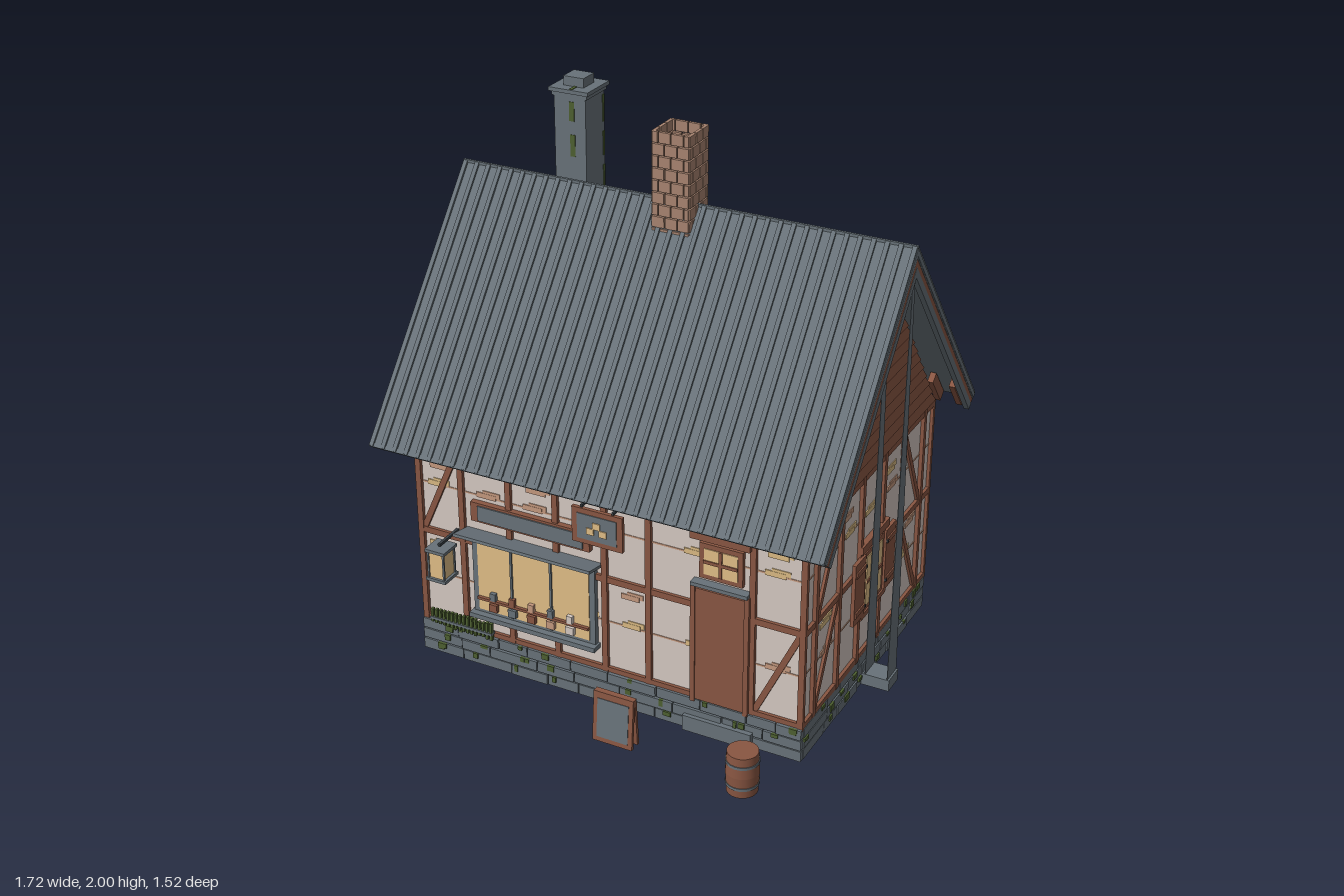
import * as THREE from 'three';

const mat = (name, color) => Object.assign(new THREE.MeshStandardMaterial({ color }), { name });
const plaster = mat('plaster', 0xd4c8c1), wood = mat('timber', 0x895642), slate = mat('slate', 0x687279);
const iron = mat('dark iron', 0x3a4146), glow = mat('warm glass', 0xe0bd86), brick = mat('brick', 0xa88470);
const moss = mat('moss', 0x4d5f30), ochre = mat('ochre patch', 0xd9b982), rose = mat('rose patch', 0xc4987e);

let seed = 7;
const rnd = () => (seed = (seed * 16807) % 2147483647) / 2147483647;

function group(parent, name, x = 0, y = 0, z = 0) {
  const g = new THREE.Group();
  g.name = name;
  g.position.set(x, y, z);
  parent.add(g);
  return g;
}
function add(parent, name, geo, m, x = 0, y = 0, z = 0) {
  const o = new THREE.Mesh(geo, m);
  o.name = name;
  o.position.set(x, y, z);
  parent.add(o);
  return o;
}
// Box from its centre and size
const box = (p, name, m, x, y, z, w, h, d) => add(p, name, new THREE.BoxGeometry(w, h, d), m, x, y, z);
// Box from its limits
const plate = (p, name, m, x0, x1, y0, y1, z0, z1) =>
  box(p, name, m, (x0 + x1) / 2, (y0 + y1) / 2, (z0 + z1) / 2, x1 - x0, y1 - y0, z1 - z0);
// Symmetrical upright trapezium of a given depth
function taper(p, name, m, x, y0, y1, half0, half1, z, depth) {
  const s = new THREE.Shape([[-half0, y0], [half0, y0], [half1, y1], [-half1, y1]].map(q => new THREE.Vector2(...q)));
  return add(p, name, new THREE.ExtrudeGeometry(s, { depth, bevelEnabled: false }), m, x, 0, z);
}
// Timber between two points on a wall
function beam(p, x1, y1, x2, y2, w = 0.022, d = 0.016) {
  const b = box(p, 'timber', wood, (x1 + x2) / 2, (y1 + y2) / 2, d / 2 - 0.002, w, Math.hypot(x2 - x1, y2 - y1), d);
  b.rotation.z = -Math.atan2(x2 - x1, y2 - y1);
}
// Outline in (z, y) extruded along x, centred on x
function extrudeX(p, name, m, pts, length, x = 0) {
  const s = new THREE.Shape(pts.map(([z, y]) => new THREE.Vector2(-z, y)));
  const g = new THREE.ExtrudeGeometry(s, { depth: length, bevelEnabled: false });
  g.translate(0, 0, -length / 2).rotateY(Math.PI / 2);
  return add(p, name, g, m, x);
}

const CZ = -0.081, WX = 0.743, HZ = 0.542;

// Half-timbered wall: posts, rails, cracks and worn plaster
function wallFrame(p, half, posts, diagonals) {
  for (const x of posts) beam(p, x, 0.12, x, 0.87);
  for (const y of [0.133, 0.5, 0.858]) beam(p, -half, y, half, y, 0.024, 0.014);
  for (const d of diagonals) beam(p, ...d, 0.022, 0.012);
  for (const y of [0.327, 0.692]) plate(p, 'plaster crack', rose, -half, half, y - 0.003, y + 0.003, 0, 0.002);
  for (let i = 0; i + 1 < posts.length; i++) {
    for (const y of [0.335, 0.45, 0.698, 0.768]) {
      if (rnd() < 0.35) continue;
      const w = Math.min(0.19, posts[i + 1] - posts[i]), m = rnd() < 0.65 ? ochre : rose;
      const x = posts[i] + (posts[i + 1] - posts[i]) * (0.35 + rnd() * 0.3);
      plate(p, 'worn plaster', m, x - w * 0.25, x + w * 0.16, y - 0.012, y + 0.008, 0, 0.004);
      plate(p, 'worn plaster', m, x - w * 0.12, x + w * 0.25, y - 0.002, y + 0.018, 0, 0.003);
    }
  }
}
// Small window with a cross of glazing bars
function paneWindow(p, x0, x1, y0, y1) {
  const t = 0.018, cx = (x0 + x1) / 2, cy = (y0 + y1) / 2;
  plate(p, 'window frame', wood, x0 - t, x1 + t, y0 - t, y1 + t, 0, 0.016);
  plate(p, 'window glass', glow, x0, x1, y0, y1, 0.014, 0.019);
  plate(p, 'glazing bar', wood, cx - 0.006, cx + 0.006, y0, y1, 0.016, 0.023);
  plate(p, 'glazing bar', wood, x0, x1, cy - 0.006, cy + 0.006, 0.016, 0.023);
}
// Courses of stone on one side of the base
function stones(p, half, out) {
  [0, 0.043, 0.086].forEach((y, r) => {
    let x = -half;
    while (x < half - 0.01) {
      let e = Math.min(half, x + 0.11 + rnd() * 0.1);
      if (half - e < 0.05) e = half;
      plate(p, 'stone', slate, x + 0.002, e - 0.002, y + (r ? 0.002 : 0), y + 0.04, -0.02, out + rnd() * 0.005);
      for (let k = 0; k < 2; k++) {
        if (rnd() < 0.55) continue;
        const m = x + rnd() * (e - x - 0.03), h = 0.01 + rnd() * 0.018;
        plate(p, 'moss', moss, m, m + 0.012 + rnd() * 0.02, y + 0.041 - h, y + 0.041, out - 0.002, out + 0.007);
      }
      x = e;
    }
  });
}

function buildGable(root, s) {
  // Local x runs along the wall, towards -z on the +x side and mirrored on the other
  const g = group(root, 'gableWall', s * WX, 0, 0);
  g.rotation.y = s * Math.PI / 2;
  const X = z => -s * z;
  const wall = group(g, 'timberFrame', X(CZ));
  const c = u => u * s;
  wallFrame(wall, HZ, [-0.467, -0.271, -0.096, 0.094, 0.274, 0.459].map(c).sort((a, b) => a - b),
    [[-0.455, 0.5, -0.28, 0.85], [-0.455, 0.14, -0.28, 0.49], [0.28, 0.85, 0.45, 0.5], [0.28, 0.49, 0.45, 0.14]]
      .map(d => [c(d[0]), d[1], c(d[2]), d[3]]));
  // Clapboards narrowing to the ridge, each leaning out at its foot
  for (let y = 0.87; y < 1.55; y += 0.047) {
    const half = h => Math.max(0.004, (1.6 - h) / 1.34);
    const b = taper(wall, 'clapboard', wood, 0, 0, 0.049, half(y), half(y + 0.049), 0.004, 0.012);
    b.position.y = y;
    b.rotation.x = -0.2;
  }
  // Shuttered window
  const w = group(g, 'gableWindow', X(-0.094));
  paneWindow(w, -0.07, 0.07, 0.335, 0.535);
  for (const k of [-1, 1]) {
    const sh = group(w, 'shutter', k * 0.136, 0.435, 0.016);
    box(sh, 'shutter board', wood, 0, 0, 0, 0.09, 0.245, 0.014);
    for (const y of [-0.08, 0.08]) {
      box(sh, 'shutter batten', wood, 0, y, 0.008, 0.08, 0.02, 0.008);
      box(sh, 'hinge', iron, -k * 0.04, y, 0.01, 0.01, 0.01, 0.008);
    }
  }
  plate(w, 'lintel', wood, -0.12, 0.12, 0.568, 0.598, 0, 0.022);
  plate(w, 'sill', wood, -0.11, 0.11, 0.297, 0.317, 0, 0.022);
  // Pair of tapered strips, on the wall and under the roof edge, joined by a foot
  taper(g, 'wallStrip', slate, X(CZ), 0.02, 1.56, 0.043, 0.01, 0.024, 0.002);
  taper(g, 'outerStrip', slate, X(CZ), 0.02, 1.57, 0.043, 0.01, 0.108, 0.002);
  plate(g, 'stripFoot', slate, X(CZ) - 0.043, X(CZ) + 0.043, 0, 0.045, 0, 0.117);
}

function buildRoof(root) {
  const roof = group(root, 'roof', 0, 0, -0.085);
  const layer = (name, m, a, b, len, x) => {
    const end = (t, k) => [k * (0.675 - 0.774 * t), 0.865 - 0.633 * t], top = t => [0, 1.69 - t / 0.633];
    extrudeX(roof, name, m, [end(a, 1), top(a), end(a, -1), end(b, -1), top(b), end(b, 1)], len, x);
  };
  layer('roofSheet', slate, 0.004, 0.022, 1.72, 0);
  // Trim along the gable edges only
  for (const s of [-1, 1]) {
    layer('outerTrim', slate, 0.022, 0.028, 0.02, s * 0.849);
    layer('bargeBoard', wood, 0.028, 0.046, 0.018, s * 0.849);
    layer('innerTrim', slate, 0.046, 0.071, 0.02, s * 0.849);
  }
  for (const turn of [0, Math.PI]) {
    const side = group(roof, 'roofSlope');
    side.rotation.y = turn;
    const slope = group(side, 'seams', 0, 1.685, 0);
    slope.rotation.x = Math.atan2(0.825, 0.675);
    for (let i = 0; i <= 36; i++) box(slope, 'seam', slate, -0.85 + i * 1.7 / 36, 0.001, 0.532, 0.016, 0.012, 1.064);
    box(slope, 'eaveStrip', slate, 0, -0.006, 1.06, 1.715, 0.018, 0.014);
    for (let i = 0; i < 21; i++) box(slope, 'rafterTail', wood, -0.82 + i * 0.082, -0.042, 0.98, 0.022, 0.04, 0.145);
  }
  box(roof, 'ridgeCap', slate, 0, 1.686, 0, 1.72, 0.01, 0.01);
}

function buildChimneys(root) {
  // Hollow brick stack with open joints
  const b = group(root, 'brickChimney', 0, 1.565, -0.085);
  for (let r = 0; r < 9; r++) {
    for (let k = 0; k < 4; k++) {
      const f = group(b, 'brickCourse', 0, r * 0.043 + 0.02);
      f.rotation.y = k * Math.PI / 2;
      const cut = (r + k) % 2 ? [-0.07, -0.022, 0.026, 0.07] : [-0.07, -0.046, 0.002, 0.05, 0.07];
      for (let i = 0; i + 1 < cut.length; i++)
        plate(f, 'brick', brick, cut[i] + 0.002, cut[i + 1] - 0.002, -0.019, 0.019, 0.06, 0.072);
    }
  }
  // Slate stack with a stepped cap
  const s = group(root, 'slateChimney', -0.498, 0, -0.28);
  box(s, 'stack', slate, 0, 1.735, 0, 0.125, 0.41, 0.132);
  box(s, 'collar', slate, 0, 1.943, 0, 0.14, 0.014, 0.14);
  box(s, 'cap', slate, 0, 1.959, 0, 0.156, 0.014, 0.156);
  box(s, 'capTop', slate, 0, 1.983, 0, 0.08, 0.034, 0.075);
  for (const k of [-1, 1]) {
    for (const [x, y, h] of [[0.008, 1.885, 0.07], [0.01, 1.76, 0.08]]) box(s, 'moss', moss, x, y, k * 0.066, 0.02, h, 0.004);
    for (const [y, h] of [[1.87, 0.1], [1.74, 0.09], [1.6, 0.12]]) box(s, 'moss', moss, k * 0.0625, y, -0.059, 0.004, h, 0.012);
    box(s, 'moss', moss, 0.008, 1.966, k * 0.055, 0.012, 0.004, 0.035);
  }
}

function buildShopFront(f) {
  // Display window with goods
  const w = group(f, 'displayWindow');
  plate(w, 'frame', slate, -0.527, -0.033, 0.215, 0.55, 0, 0.02);
  plate(w, 'glass', glow, -0.505, -0.055, 0.24, 0.54, 0.018, 0.023);
  for (const x of [-0.365, -0.205]) plate(w, 'mullion', slate, x - 0.004, x + 0.004, 0.24, 0.54, 0.02, 0.03);
  plate(w, 'sill', slate, -0.535, -0.025, 0.21, 0.228, 0, 0.045);
  plate(w, 'shelf', wood, -0.505, -0.055, 0.286, 0.296, 0.02, 0.035);
  for (let i = 0; i < 5; i++) {
    const x = -0.44 + i * 0.078;
    box(w, 'ware', [wood, slate, wood, rose, plaster][i], x, 0.265, 0.03, 0.032, 0.03, 0.016);
    box(w, 'ware', [slate, wood, rose, slate, plaster][i], x, 0.31, 0.03, 0.022, 0.03, 0.016);
  }
  box(w, 'awning', slate, -0.283, 0.557, 0.048, 0.545, 0.011, 0.096).rotation.x = -0.2;
  // Board over the window
  plate(f, 'signBoard', wood, -0.525, -0.05, 0.597, 0.672, 0, 0.022);
  plate(f, 'signPanel', slate, -0.495, -0.075, 0.605, 0.663, 0.02, 0.027);
  // Hanging sign
  const h = group(f, 'hangingSign', 0.028, 0.752, 0.097);
  box(h, 'board', wood, 0, 0, 0, 0.193, 0.133, 0.014);
  for (const k of [-1, 1]) box(h, 'panel', slate, 0, 0, k * 0.007, 0.15, 0.095, 0.006);
  for (const [x, y] of [[-0.024, -0.012], [0.024, -0.012], [0, 0.012]]) box(h, 'loaf', glow, x, y, 0.011, 0.028, 0.024, 0.006);
  for (const k of [-1, 1]) box(h, 'bracket', iron, k * 0.06, 0.074, -0.045, 0.008, 0.01, 0.1);
  // Door, lintel and light above it
  const d = group(f, 'door', 0.445);
  plate(d, 'doorFrame', wood, -0.108, 0.108, 0.12, 0.59, 0, 0.014);
  plate(d, 'doorLeaf', wood, -0.092, 0.092, 0.13, 0.575, 0.012, 0.022);
  plate(d, 'doorHood', slate, -0.105, 0.105, 0.588, 0.602, 0, 0.035);
  for (const k of [-1, 1]) plate(d, 'jamb', wood, k * 0.1 - 0.009, k * 0.1 + 0.009, 0.12, 0.588, 0, 0.026);
  paneWindow(d, -0.062, 0.062, 0.635, 0.733);
  plate(d, 'windowHood', wood, -0.11, 0.11, 0.767, 0.797, 0, 0.03);
  plate(d, 'doorStep', slate, -0.13, 0.13, 0, 0.06, 0, 0.04);
  // Lantern on an arm
  const l = group(f, 'lantern', -0.598, 0.455, 0.11);
  box(l, 'glass', glow, 0, 0, 0, 0.06, 0.106, 0.066);
  for (const y of [-0.057, 0.057]) box(l, 'plate', slate, 0, y, 0, 0.08, 0.012, 0.084);
  for (const x of [-1, 1]) for (const z of [-1, 1]) box(l, 'bar', slate, x * 0.031, 0, z * 0.034, 0.007, 0.108, 0.007);
  box(l, 'arm', iron, 0, 0.072, -0.05, 0.01, 0.01, 0.12);
  // Plants along the foot of the wall
  plate(f, 'plantRail', slate, -0.71, -0.45, 0.146, 0.156, 0.015, 0.04);
  for (let i = 0; i < 16; i++) box(f, 'plant', moss, -0.703 + i * 0.0165, 0.16, 0.03, 0.01, 0.045 + rnd() * 0.025, 0.014);
}

function buildYard(root) {
  // Barrel
  const b = group(root, 'barrel', 0.643, 0, 0.702);
  add(b, 'lowerStaves', new THREE.CylinderGeometry(0.058, 0.054, 0.078, 20), wood, 0, 0.039);
  add(b, 'upperStaves', new THREE.CylinderGeometry(0.054, 0.058, 0.078, 20), wood, 0, 0.117);
  for (const y of [0.035, 0.12]) add(b, 'hoop', new THREE.CylinderGeometry(0.0585, 0.0585, 0.01, 20), slate, 0, y, 0);
  // Folding pavement board
  const a = group(root, 'pavementBoard', 0.146, 0, 0.667);
  for (const k of [-1, 1]) {
    const leaf = group(a, 'leaf', 0, 0.097, k * 0.013);
    leaf.rotation.x = -k * 0.08;
    box(leaf, 'frame', wood, 0, 0, 0, 0.153, 0.193, 0.012);
    box(leaf, 'panel', slate, 0, -0.003, k * 0.005, 0.12, 0.15, 0.006);
  }
}

export function createModel() {
  const root = new THREE.Group();
  root.name = 'timberedShop';
  box(root, 'walls', plaster, 0, 0.495, CZ, WX * 2, 0.75, HZ * 2);
  extrudeX(root, 'gables', wood, [[CZ + HZ, 0.86], [CZ + HZ, 0.872], [CZ, 1.59], [CZ - HZ, 0.872], [CZ - HZ, 0.86]], WX * 2);
  box(root, 'base', slate, 0, 0.061, CZ, WX * 2 + 0.01, 0.12, HZ * 2 + 0.004);

  const front = group(root, 'frontWall', 0, 0, CZ + HZ);
  wallFrame(front, 0.748, [-0.744, -0.57, -0.377, -0.19, 0, 0.17, 0.56, 0.744],
    [[-0.735, 0.5, -0.58, 0.85], [0.57, 0.14, 0.735, 0.49]]);
  stones(front, 0.756, 0.02);
  buildShopFront(front);

  const back = group(root, 'backWall', 0, 0, CZ - HZ);
  back.rotation.y = Math.PI;
  wallFrame(back, 0.748, [-0.744, -0.57, -0.38, -0.19, 0, 0.19, 0.38, 0.57, 0.744],
    [[-0.735, 0.5, -0.58, 0.85], [-0.735, 0.14, -0.58, 0.49], [0.735, 0.5, 0.58, 0.85], [0.735, 0.14, 0.58, 0.49]]);
  stones(back, 0.756, 0.006);
  paneWindow(back, -0.075, 0.075, 0.565, 0.735);
  plate(back, 'sill', slate, -0.12, 0.12, 0.525, 0.545, 0, 0.035);
  plate(back, 'lintel', wood, -0.11, 0.11, 0.765, 0.79, 0, 0.025);

  for (const s of [1, -1]) {
    buildGable(root, s);
    const base = group(root, 'gableBase', s * WX, 0, CZ);
    base.rotation.y = s * Math.PI / 2;
    stones(base, 0.547, 0.011);
  }
  buildRoof(root);
  buildChimneys(root);
  buildYard(root);
  return root;
}
